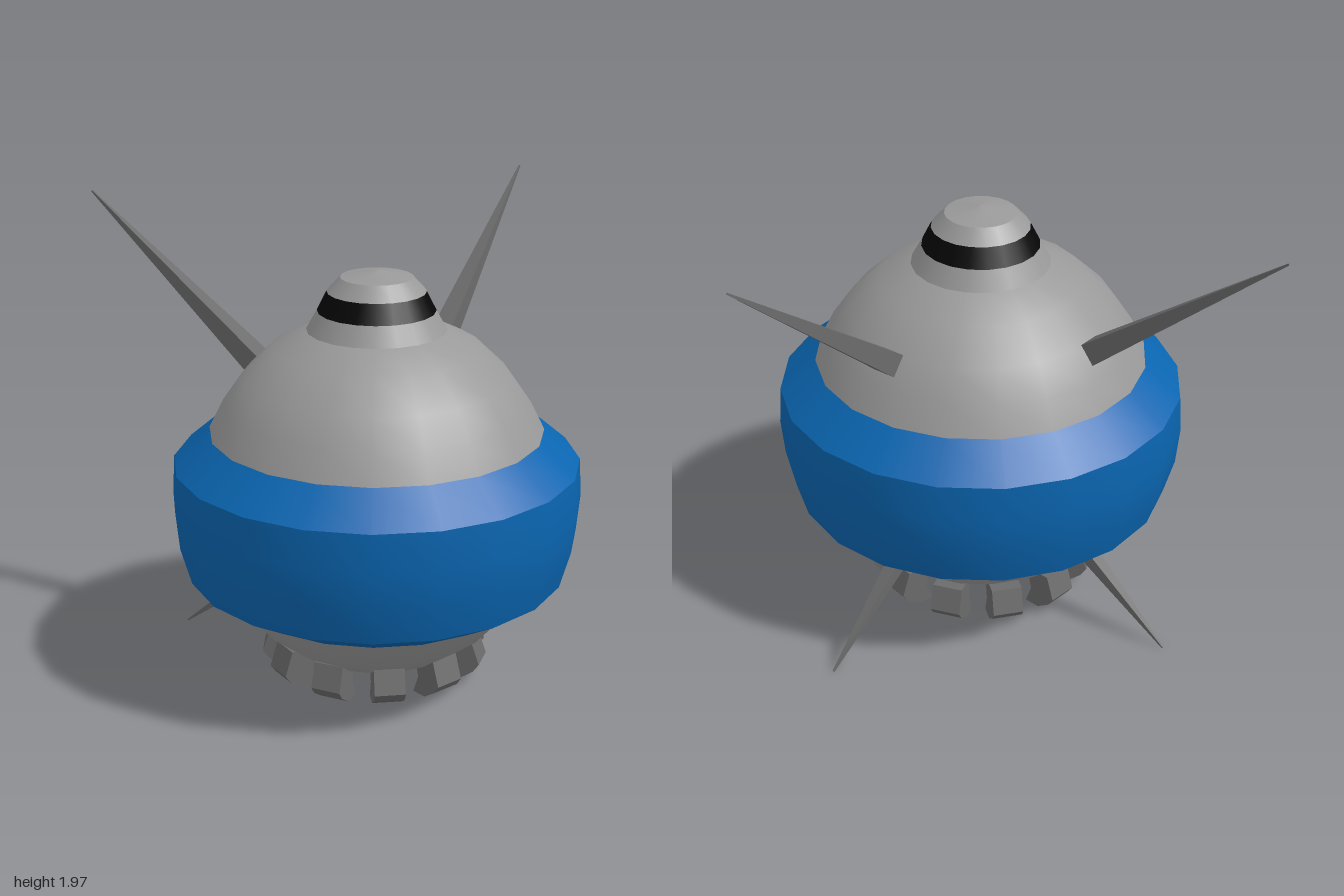
import * as THREE from 'three';

const CZ = 0.067; // body axis in z

const grey = new THREE.MeshStandardMaterial({ color: 0x999999 });
const darkGrey = new THREE.MeshStandardMaterial({ color: 0x6b6b6b, flatShading: true });
const blue = new THREE.MeshStandardMaterial({ color: 0x0a65b0 });
const black = new THREE.MeshStandardMaterial({ color: 0x060606 });

// One band of the body: [radius, y] points from bottom to top, 20 sides
function band(name, material, points) {
  const profile = points.map(([r, y]) => new THREE.Vector2(r, y));
  const mesh = new THREE.Mesh(new THREE.LatheGeometry(profile, 20), material);
  mesh.name = name;
  mesh.position.z = CZ;
  return mesh;
}

// Square tapering spike, with two of its base edges horizontal
function spike(name, base, tip, width) {
  const a = new THREE.Vector3(...base);
  const b = new THREE.Vector3(...tip);
  const length = a.distanceTo(b);
  const geometry = new THREE.CylinderGeometry(0.005, width / Math.SQRT2, length, 4, 1);
  geometry.rotateY(Math.PI / 4);
  geometry.translate(0, length / 2, 0);
  const along = b.clone().sub(a).normalize();
  const across = new THREE.Vector3(0, 1, 0).cross(along).normalize();
  const third = across.clone().cross(along);
  const mesh = new THREE.Mesh(geometry, darkGrey);
  mesh.quaternion.setFromRotationMatrix(new THREE.Matrix4().makeBasis(across, along, third));
  mesh.position.copy(a);
  mesh.name = name;
  return mesh;
}

// Ring of claw-like blocks under the body, leaning out and then curling in
function footRing() {
  const ring = new THREE.Group();
  ring.name = 'footRing';
  ring.position.z = 0.04;
  const section = new THREE.Shape([
    [0.33, 0.2], [0.36, 0.1], [0.33, 0.02], [0.4, 0.02], [0.46, 0.06], [0.485, 0.095], [0.45, 0.2],
  ].map(([x, y]) => new THREE.Vector2(x, y)));
  const geometry = new THREE.ExtrudeGeometry(section, { depth: 0.13, bevelEnabled: false });
  geometry.translate(0, 0, -0.065);
  const count = 11;
  for (let i = 0; i < count; i++) {
    const block = new THREE.Mesh(geometry, darkGrey);
    block.name = 'footBlock' + (i + 1);
    block.rotation.y = THREE.MathUtils.degToRad(-9 - 90) + (i / count) * Math.PI * 2;
    ring.add(block);
  }
  return ring;
}

export function createModel() {
  const model = new THREE.Group();
  model.name = 'spikedPod';

  // Body, from bottom to top
  model.add(
    band('underside', grey, [[0, 0.07], [0.2, 0.09], [0.38, 0.16], [0.52, 0.27], [0.63, 0.4]]),
    band('beltLowerBevel', blue, [[0.63, 0.4], [0.803, 0.5]]),
    band('belt', blue, [[0.803, 0.5], [0.848, 0.66], [0.863, 0.82], [0.853, 0.98]]),
    band('beltUpperBevel', blue, [[0.853, 0.98], [0.7, 1.11]]),
    band('dome', grey, [[0.7, 1.11], [0.64, 1.23], [0.56, 1.345], [0.43, 1.47], [0.29, 1.54]]),
    band('collar', grey, [[0.29, 1.54], [0.245, 1.62]]),
    band('noseStripe', black, [[0.245, 1.62], [0.205, 1.7]]),
    band('nose', grey, [[0.205, 1.7], [0.15, 1.76]]),
    band('noseCap', grey, [[0.15, 1.76], [0, 1.787]]),
  );

  model.add(footRing());

  // Mirrored pairs of spikes at the back
  for (const [side, s] of [['left', 1], ['right', -1]]) {
    model.add(
      spike(side + 'UpperSpike', [s * 0.41, 1.315, -0.34], [s * 0.997, 1.972, -0.93], 0.095),
      spike(side + 'LowerSpike', [s * 0.41, 0.33, -0.345], [s * 0.7, 0.005, -0.63], 0.06),
    );
  }
  return model;
}
